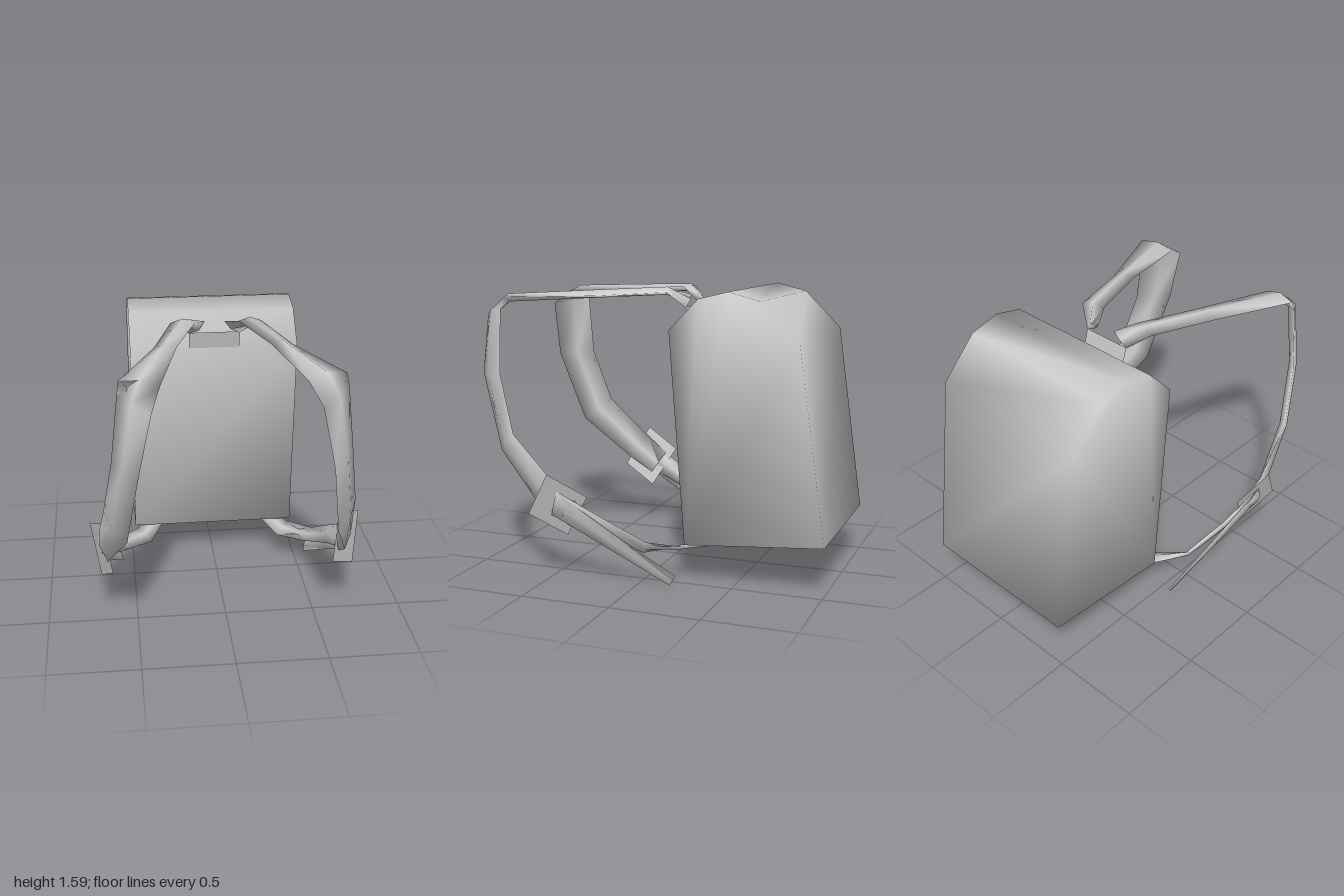
import * as THREE from 'three';
import { mergeVertices } from 'three/addons/utils/BufferGeometryUtils.js';

const grey = new THREE.MeshStandardMaterial({ color: 0xcccccc, side: THREE.DoubleSide });

function addMesh(parent, name, geometry) {
  const mesh = new THREE.Mesh(geometry, grey);
  mesh.name = name;
  parent.add(mesh);
}

function indexed(points, faces) {
  const g = new THREE.BufferGeometry().setFromPoints(points);
  g.setIndex(faces);
  g.computeVertexNormals();
  return g;
}

// Padded ribbon: each station is [edge A, edge B]; the section is a flat diamond
function ribbon(stations, side, thickness) {
  const edges = stations.map(s => s.map(([x, y, z]) => new THREE.Vector3(side * x, y, z)));
  const mids = edges.map(([a, b]) => a.clone().lerp(b, 0.5));
  const points = [], faces = [];
  const last = edges.length - 1;
  edges.forEach(([a, b], i) => {
    const along = mids[Math.min(i + 1, last)].clone().sub(mids[Math.max(i - 1, 0)]);
    const bulge = along.cross(b.clone().sub(a)).setLength(thickness / 2);
    points.push(a, mids[i].clone().add(bulge), b, mids[i].clone().sub(bulge));
    if (i === last) return;
    for (let k = 0; k < 4; k++) {
      const p = i * 4 + k, q = i * 4 + (k + 1) % 4;
      faces.push(p, p + 4, q, q, p + 4, q + 4);
    }
  });
  const e = last * 4;
  faces.push(0, 1, 2, 0, 2, 3, e, e + 2, e + 1, e, e + 3, e + 2);
  return indexed(points, faces);
}

// Thin four-cornered sheet
function sheet(corners, side = 1) {
  const points = corners.map(([x, y, z]) => new THREE.Vector3(side * x, y, z));
  return indexed(points, side > 0 ? [0, 1, 2, 0, 2, 3] : [0, 2, 1, 0, 3, 2]);
}

// Side profile of the bag as [z, y], extruded across x with soft shading
function bagGeometry() {
  const profile = [[-0.135, 1.385], [-0.3, 1.555], [-0.465, 1.595], [-0.64, 1.55],
    [-0.85, 1.34], [-1, 0.275], [-0.225, 0.215]];
  const shape = new THREE.Shape(profile.map(([z, y]) => new THREE.Vector2(-z, y)));
  let g = new THREE.ExtrudeGeometry(shape, { depth: 0.964, bevelEnabled: false });
  g.rotateY(Math.PI / 2).translate(-0.482, 0, 0);
  g.deleteAttribute('uv');
  g.deleteAttribute('normal');
  g = mergeVertices(g);
  g.computeVertexNormals();
  return g;
}

// Shoulder strap from the neck over the shoulder to the buckle
const shoulder = [
  [[0.055, 1.55, -0.11], [0.145, 1.48, -0.11]],
  [[0.12, 1.58, 0], [0.255, 1.57, -0.035]],
  [[0.25, 1.565, 0.38], [0.37, 1.55, 0.34]],
  [[0.365, 1.525, 0.85], [0.565, 1.545, 0.8]],
  [[0.415, 1.44, 0.99], [0.575, 1.48, 0.82]],
  [[0.485, 1.11, 0.99], [0.615, 1.12, 0.81]],
  [[0.55, 0.68, 0.85], [0.665, 0.8, 0.71]],
  [[0.655, 0.42, 0.57], [0.695, 0.56, 0.46]],
  [[0.655, 0.33, 0.42], [0.685, 0.46, 0.33]],
];

// Lower strap from the buckle back to the bottom of the bag
const lower = [
  [[0.685, 0.37, 0.475], [0.71, 0.51, 0.43]],
  [[0.625, 0.27, 0.22], [0.655, 0.37, 0.18]],
  [[0.54, 0.165, -0.01], [0.585, 0.24, -0.04]],
  [[0.39, 0.16, -0.11], [0.47, 0.2, -0.21]],
  [[0.23, 0.205, -0.5], [0.28, 0.225, -0.545]],
];

// Loose end hanging past the buckle
const tail = [
  [[0.68, 0.37, 0.475], [0.71, 0.505, 0.43]],
  [[0.63, 0.2, 0.17], [0.655, 0.29, 0.12]],
  [[0.565, 0.005, -0.17], [0.59, 0.07, -0.215]],
];

const buckle = [[0.745, 0.61, 0.47], [0.69, 0.365, 0.615], [0.63, 0.25, 0.405], [0.685, 0.49, 0.26]];

export function createModel() {
  const model = new THREE.Group();
  model.name = 'backpack';
  addMesh(model, 'bag', bagGeometry());
  addMesh(model, 'neckPlate', sheet([
    [-0.145, 1.375, -0.138], [0.145, 1.375, -0.138], [0.145, 1.485, -0.11], [-0.145, 1.485, -0.11]]));

  // Harness on both sides
  for (const [label, side] of [['left', 1], ['right', -1]]) {
    const harness = new THREE.Group();
    harness.name = label + 'Harness';
    addMesh(harness, label + 'ShoulderStrap', ribbon(shoulder, side, 0.045));
    addMesh(harness, label + 'LowerStrap', ribbon(lower, side, 0.025));
    addMesh(harness, label + 'StrapTail', ribbon(tail, side, 0.008));
    addMesh(harness, label + 'Buckle', sheet(buckle, side));
    model.add(harness);
  }
  return model;
}
